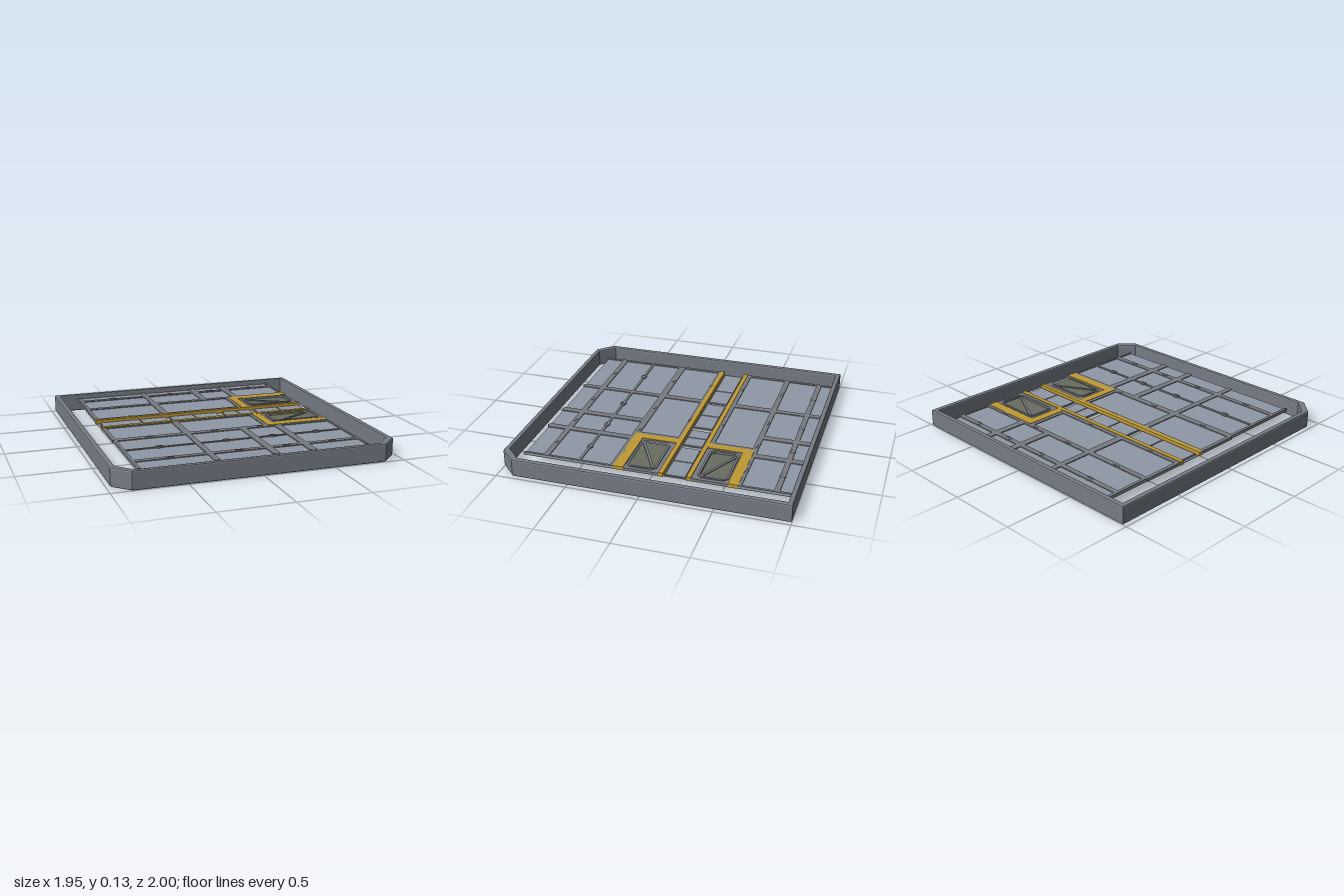
import * as THREE from 'three';

const material = (color) => new THREE.MeshStandardMaterial({ color, flatShading: true });
const frameMat = material(0x767b85);
const beamMat = material(0x787b82);
const panelMat = material(0x8f98a6);
const yellowMat = material(0xbf9a33);
const windowMat = material(0x696c5f);
const slatMat = material(0xaaabac);

// plan coordinates are [x, z]; mirror reflects z about the middle channel
const MIRROR_SUM = -0.377;
const mirrorZ = (z) => MIRROR_SUM - z;

export function createModel() {
  const model = new THREE.Group();

  const add = (name, geometry, mat) => {
    const mesh = new THREE.Mesh(geometry, mat);
    mesh.name = name;
    model.add(mesh);
    return mesh;
  };

  const box = (name, x0, x1, z0, z1, y0, y1, mat) => {
    const g = new THREE.BoxGeometry(x1 - x0, y1 - y0, Math.abs(z1 - z0));
    g.translate((x0 + x1) / 2, (y0 + y1) / 2, (z0 + z1) / 2);
    return add(name, g, mat);
  };

  // flat plate cut from a plan outline, with optional hole and bevel
  const plate = (name, outline, hole, y0, y1, mat, bevel = 0) => {
    const toPoints = (list) => list.map(([x, z]) => new THREE.Vector2(x, z));
    const shape = new THREE.Shape(toPoints(outline));
    if (hole) shape.holes.push(new THREE.Path(toPoints(hole)));
    const g = new THREE.ExtrudeGeometry(shape, {
      depth: y1 - y0 - 2 * bevel, bevelEnabled: bevel > 0, bevelSize: bevel,
      bevelThickness: bevel, bevelOffset: -bevel, bevelSegments: 2, curveSegments: 8,
    });
    g.rotateX(Math.PI / 2);
    g.translate(0, y1 - bevel, 0);
    return add(name, g, mat);
  };

  // outer frame: square at the back, chamfered at the front
  const ring = (x, back, front, cut) => [
    [-x, back], [x, back], [x, front - cut], [x - cut, front], [-x + cut, front], [-x, front - cut],
  ];
  plate('outerFrame', ring(0.973, -1, 1, 0.11), ring(0.935, -0.965, 0.965, 0.104), 0, 0.127, frameMat, 0.009);

  // floor levels
  const BEAM = [0.074, 0.096];
  const PANEL = [0.08, 0.09];
  const columns = [[-0.775, -0.29], [-0.25, 0.115], [0.165, 0.375], [0.425, 0.787]];
  const wideColumns = [[-0.777, -0.295], [-0.245, 0.308]];
  const handleX = [-0.54, -0.07, 0.27, 0.6];
  const wideHandleX = [-0.54, 0.04];

  // small half-round pull on a beam; dir is the side it bulges to
  const handle = (x, z, dir) => {
    const pts = [];
    for (let i = 0; i <= 6; i++) {
      const a = (i / 6) * Math.PI;
      pts.push([x + 0.027 * Math.cos(a), z + dir * 0.014 * Math.sin(a)]);
    }
    plate('panelHandle', pts, null, 0.088, 0.099, frameMat);
  };

  // one block of floor: thin panels set between raised beams
  const floorBlock = (cols, rows, x0, x1, z0, z1) => {
    box('floorPanels', x0, x1, z0, z1, ...PANEL, panelMat);
    const xs = [x0, ...cols.flat(), x1];
    for (let i = 0; i < xs.length; i += 2) {
      box('lengthwiseBeam', xs[i], xs[i + 1], z0, z1, ...BEAM, beamMat);
    }
    const zs = [z0, ...rows.flat(), z1];
    for (let i = 0; i < zs.length; i += 2) {
      if (zs[i + 1] - zs[i] < 0.002) continue;
      for (const [a, b] of cols) box('crossBeam', a, b, zs[i], zs[i + 1], ...BEAM, beamMat);
    }
  };

  floorBlock(columns, [[-0.97, -0.883], [-0.846, -0.635]], -0.797, 0.803, -0.97, -0.612);
  floorBlock(wideColumns, [[-0.597, -0.328]], -0.803, 0.337, -0.612, -0.298);
  floorBlock(wideColumns, [[-0.063, 0.212]], -0.803, 0.337, -0.079, 0.235);
  floorBlock(columns, [[0.26, 0.469], [0.487, 0.698], [0.737, 0.866]], -0.797, 0.803, 0.235, 0.866);

  // pointed beam ends at the open front edge
  [[-0.797, -0.775, -0.797], [-0.29, -0.25, -0.27], [0.115, 0.165, 0.14],
    [0.375, 0.425, 0.4], [0.787, 0.803, 0.803]].forEach(([a, b, tip]) =>
    plate('beamTip', [[a, 0.865], [b, 0.865], [tip, 0.882]], null, ...BEAM, beamMat));

  for (const x of handleX) {
    handle(x, -0.872, -1);
    handle(x, -0.857, 1);
    handle(x, -0.624, 1);
    handle(x, 0.236, -1);
    handle(x, 0.472, -1);
    handle(x, 0.484, 1);
    handle(x, 0.725, -1);
  }
  for (const x of wideHandleX) {
    handle(x, -0.312, -1);
    handle(x, -0.076, 1);
  }

  // middle channel: paired cover panels, with pale slats between them
  const splits = [-0.485, -0.075, 0.267, 0.6];
  const covers = [[-0.78, -0.285], [-0.26, 0.115], [0.155, 0.38], [0.41, 0.79]];
  covers.forEach(([a, b], i) => {
    const s = splits[i];
    box('channelBase', a, b, -0.262, -0.114, 0.07, 0.078, beamMat);
    box('channelCover', a + 0.006, s - 0.004, -0.255, -0.121, 0.076, 0.084, panelMat);
    box('channelCover', s + 0.004, b - 0.006, -0.255, -0.121, 0.076, 0.084, panelMat);
  });
  [[-0.795, -0.78], [-0.285, -0.26], [0.115, 0.155], [0.38, 0.41]].forEach(([a, b]) =>
    box('channelSlat', a, b, -0.262, -0.114, 0.068, 0.074, slatMat));

  // hatches and yellow edging on both sides of the channel
  for (const m of [(z) => z, mirrorZ]) {
    const flip = (pts) => pts.map(([x, z]) => [x, m(z)]);
    const rect = (x0, x1, z0, z1, c = 0) => flip([
      [x0 + c, z0], [x1 - c, z0], [x1, z0 + c], [x1, z1 - c],
      [x1 - c, z1], [x0 + c, z1], [x0, z1 - c], [x0, z0 + c],
    ].filter((p, i) => c > 0 || i % 2 === 0));

    box('yellowRail', -0.805, 0.803, m(-0.299), m(-0.268), 0.072, 0.1, yellowMat);
    plate('yellowBorder', flip([[0.335, -0.614], [0.803, -0.614], [0.803, -0.545],
      [0.393, -0.545], [0.393, -0.299], [0.335, -0.299]]), null, 0.073, 0.099, yellowMat);
    const opening = rect(0.432, 0.762, -0.523, -0.343, 0.022);
    plate('hatchSurround', rect(0.393, 0.803, -0.545, -0.299), opening, 0.074, 0.094, beamMat);
    plate('hatchRim', rect(0.415, 0.777, -0.537, -0.328, 0.03), opening, 0.09, 0.101, frameMat);
    plate('hatchWindow', rect(0.425, 0.768, -0.529, -0.337, 0.02), null, 0.08, 0.086, windowMat);

    // diagonal brace across the window
    const [ax, az, bx, bz] = [0.442, m(-0.516), 0.752, m(-0.35)];
    const brace = add('hatchBrace',
      new THREE.BoxGeometry(Math.hypot(bx - ax, bz - az), 0.018, 0.018), beamMat);
    brace.position.set((ax + bx) / 2, 0.083, (az + bz) / 2);
    brace.rotation.y = -Math.atan2(bz - az, bx - ax);
  }

  return model;
}
